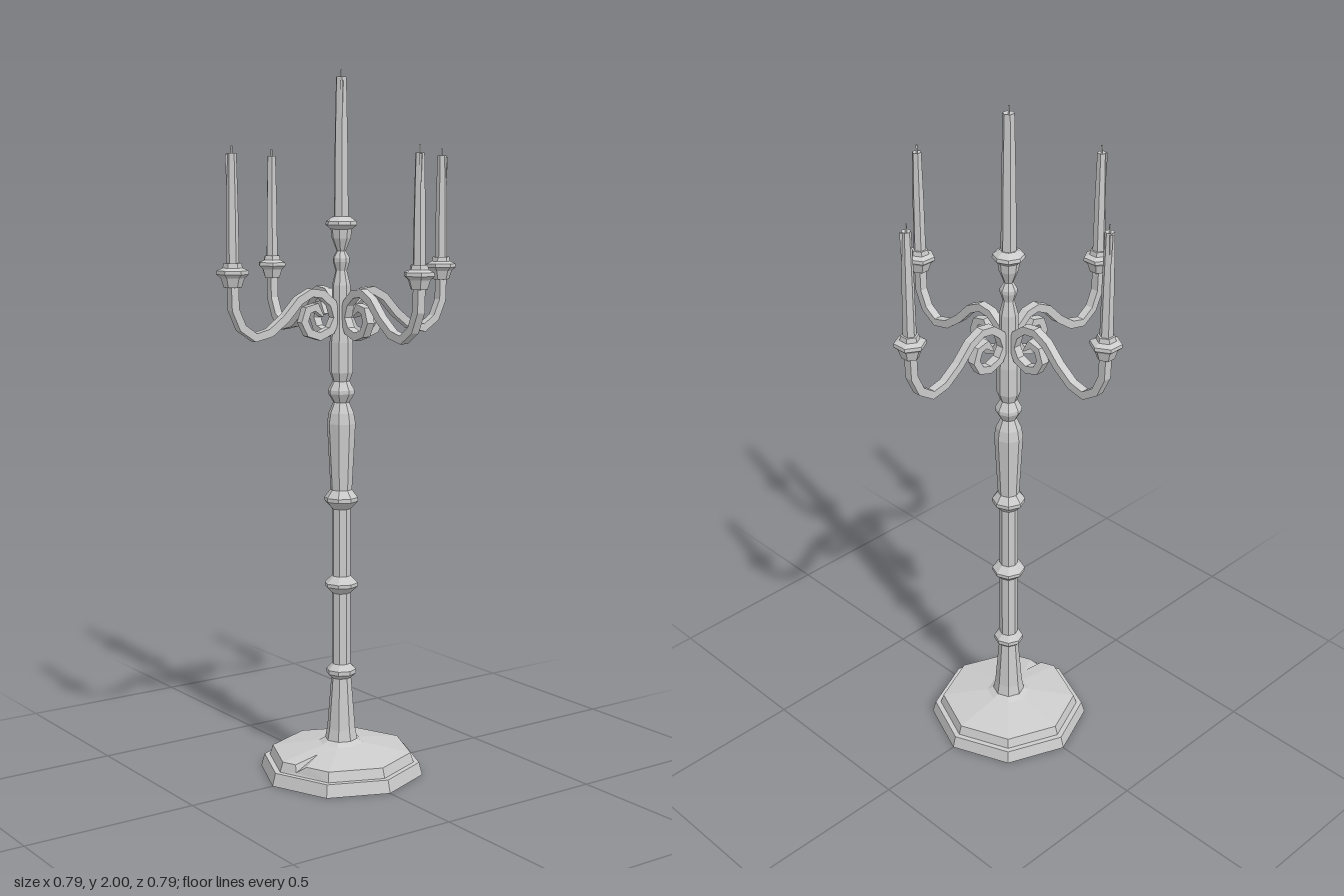
import * as THREE from 'three';

const material = new THREE.MeshStandardMaterial({ color: 0xcccccc, flatShading: true });

function mesh(name, geometry) {
  const m = new THREE.Mesh(geometry, material);
  m.name = name;
  return m;
}

// Faceted turned part; profile is [radius, y] from bottom to top
function turned(name, profile, sides, start = 0, length = Math.PI * 2) {
  const pts = profile.map(([r, y]) => new THREE.Vector2(r, y));
  return mesh(name, new THREE.LatheGeometry(pts, sides, start, length));
}

// Front sector of the base step, with a chip broken out of its rim
function chippedSector() {
  const s = Math.SQRT1_2;
  const I0 = [0, 0.088, 0.065], I1 = [0.065 * s, 0.088, 0.065 * s];
  const P0 = [0, 0.064, 0.203], P1 = [0.203 * s, 0.064, 0.203 * s];
  const Q0 = [0, 0.036, 0.212], Q1 = [0.212 * s, 0.036, 0.212 * s];
  const A = [0.037, 0.078, 0.107], B = [0.04, 0.064, 0.186];
  const C = [0.075, 0.064, 0.172], D = [0.047, 0.043, 0.189];
  const faces = [
    I0, P0, B, I0, B, A, I0, A, I1, A, C, P1, A, P1, I1, // sloping top
    Q0, D, B, Q0, B, P0, Q0, Q1, D, Q1, P1, C, Q1, C, D, // side
    A, B, D, A, D, C, // chip
  ];
  const g = new THREE.BufferGeometry();
  g.setAttribute('position', new THREE.Float32BufferAttribute(faces.flat(), 3));
  g.computeVertexNormals();
  return mesh('chippedBaseSector', g);
}

// Square bar following a flat path, narrowing to a point at its scroll end
function scrollArm() {
  const path = [
    [0.355, 1.42], [0.353, 1.355], [0.33, 1.305], [0.288, 1.277], [0.24, 1.288],
    [0.19, 1.325], [0.145, 1.372], [0.105, 1.392], [0.068, 1.387], [0.035, 1.36],
    [0.022, 1.32], [0.04, 1.285], [0.078, 1.27], [0.113, 1.281], [0.13, 1.312],
    [0.118, 1.345], [0.09, 1.352], [0.068, 1.325],
  ].map(([x, y]) => new THREE.Vector2(x, y));
  const left = [], right = [];
  path.forEach((p, i) => {
    const a = path[Math.max(i - 1, 0)], b = path[Math.min(i + 1, path.length - 1)];
    const t = b.clone().sub(a).normalize();
    const w = i === path.length - 1 ? 0.002 : 0.0115;
    left.push(new THREE.Vector2(p.x - t.y * w, p.y + t.x * w));
    right.unshift(new THREE.Vector2(p.x + t.y * w, p.y - t.x * w));
  });
  const g = new THREE.ExtrudeGeometry(new THREE.Shape([...left, ...right]), { depth: 0.024, bevelEnabled: false });
  g.translate(0, 0, -0.012);
  return mesh('scrollArm', g);
}

// Tapered candle with wick and a run of wax down one side
function candle(y, height, r) {
  const g = new THREE.Group();
  g.name = 'candle';
  g.add(turned('wax', [[0, 0], [r, 0], [r * 0.9, height * 0.5], [r * 0.72, height - 0.02], [0, height - 0.024]], 6));
  g.add(turned('wick', [[0.003, height - 0.03], [0.003, height], [0, height]], 4));
  const drip = mesh('waxDrip', new THREE.ConeGeometry(0.006, height * 0.45, 4));
  drip.rotation.x = Math.PI;
  drip.position.set(r * 0.6, height * 0.7, r * 0.35);
  g.add(drip);
  g.position.y = y;
  return g;
}

export function createModel() {
  const model = new THREE.Group();
  model.name = 'candelabrum';

  // Octagonal stepped base
  model.add(turned('basePlinth', [[0, 0], [0.238, 0], [0.228, 0.036], [0, 0.036]], 8));
  model.add(turned('baseStep', [[0.212, 0.036], [0.203, 0.064], [0.065, 0.088]], 7, Math.PI / 4, Math.PI * 1.75));
  model.add(chippedSector());

  // Turned column with rings and a narrow neck
  model.add(turned('column', [
    [0.065, 0.088], [0.047, 0.098], [0.041, 0.13], [0.029, 0.28],
    [0.043, 0.293], [0.043, 0.305], [0.027, 0.322],
    [0.027, 0.53], [0.048, 0.55], [0.048, 0.56], [0.027, 0.58],
    [0.027, 0.775], [0.048, 0.797], [0.048, 0.808], [0.031, 0.83],
    [0.041, 1.02], [0.036, 1.05], [0.023, 1.08],
    [0.038, 1.105], [0.038, 1.115], [0.024, 1.14], [0.033, 1.165], [0.033, 1.25],
    [0.027, 1.3], [0.026, 1.41], [0.016, 1.45], [0.024, 1.475], [0.024, 1.485], [0.013, 1.505],
  ], 8));

  // Central cup and candle
  model.add(turned('centreCup', [
    [0.013, 1.505], [0.027, 1.54], [0.03, 1.565], [0.045, 1.577], [0.043, 1.587], [0.024, 1.6], [0, 1.6],
  ], 8));
  model.add(candle(1.6, 0.4, 0.022));

  // Four arms, each with its cup and candle
  for (let i = 0; i < 4; i++) {
    const arm = new THREE.Group();
    arm.name = 'arm';
    arm.add(scrollArm());
    const holder = new THREE.Group();
    holder.name = 'candleHolder';
    holder.position.x = 0.355;
    holder.add(turned('cup', [
      [0, 1.412], [0.024, 1.415], [0.032, 1.44], [0.044, 1.45], [0.043, 1.46], [0.027, 1.467], [0.024, 1.48], [0, 1.48],
    ], 6));
    holder.add(candle(1.48, 0.31, 0.018));
    arm.add(holder);
    arm.rotation.y = i * Math.PI / 2;
    model.add(arm);
  }
  return model;
}
